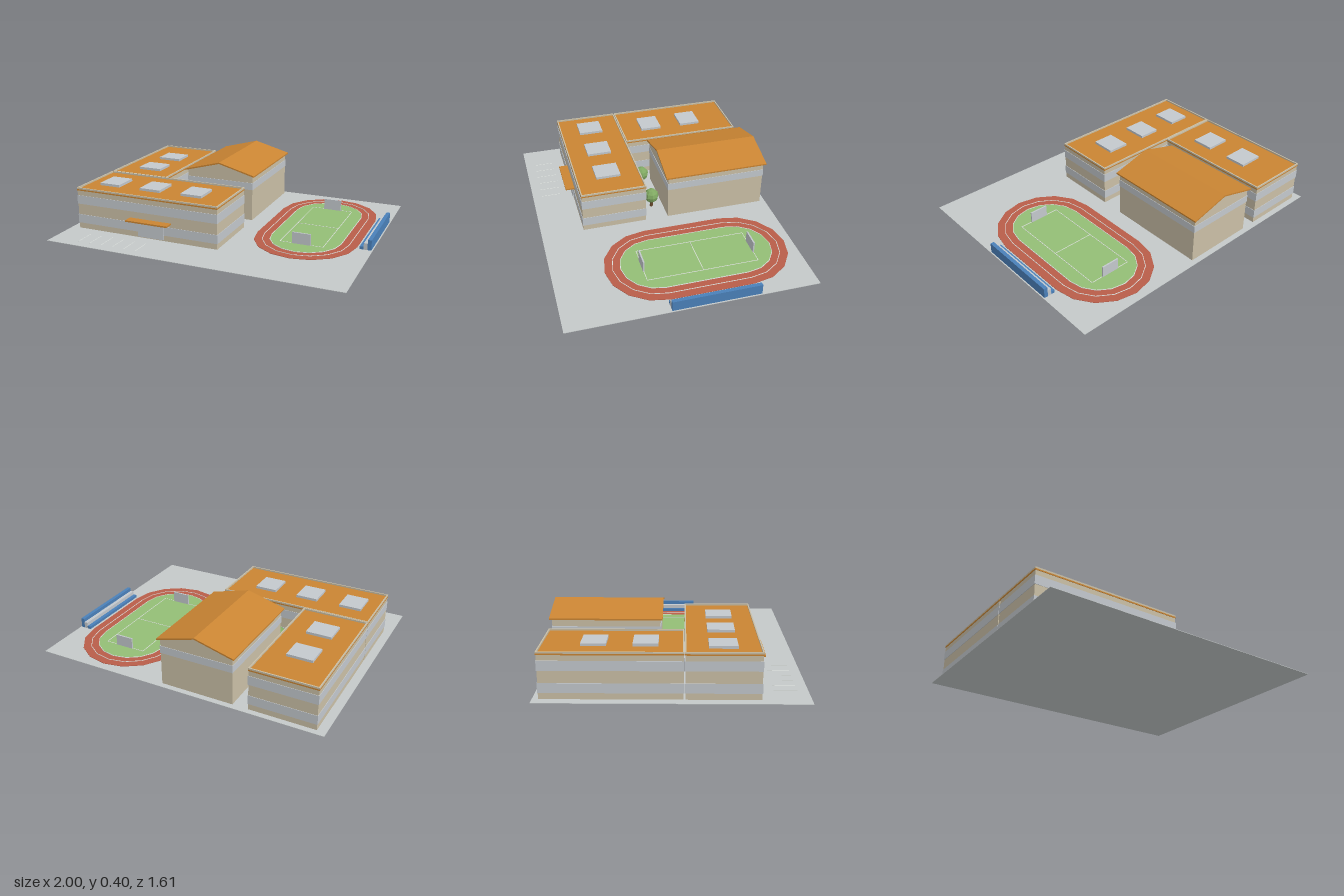
import * as THREE from 'three';

const mat = (name, color) => {
  const m = new THREE.MeshStandardMaterial({ color });
  m.name = name;
  return m;
};

export function createModel() {
  const model = new THREE.Group();
  model.name = 'schoolCampus';
  const paving = mat('paving grey', 0xc4c9c9);
  const wall = mat('wall beige', 0xcabfa6);
  const glass = mat('window grey', 0xc3c8cd);
  const roof = mat('roof orange', 0xca8533);
  const red = mat('track red', 0xb95d49);
  const grass = mat('grass green', 0x93be76);
  const white = mat('line white', 0xdcdfdc);
  const blue = mat('seat blue', 0x4a80b9);
  const leaf = mat('leaf green', 0x80a962);
  const bark = mat('bark brown', 0x6b4a2c);
  leaf.flatShading = true;

  const add = (parent, name, geometry, material) => {
    const mesh = new THREE.Mesh(geometry, material);
    mesh.name = name;
    parent.add(mesh);
    return mesh;
  };
  // Box given by its limits on each axis
  const box = (parent, name, material, x0, x1, y0, y1, z0, z1) => {
    const mesh = add(parent, name, new THREE.BoxGeometry(x1 - x0, y1 - y0, z1 - z0), material);
    mesh.position.set((x0 + x1) / 2, (y0 + y1) / 2, (z0 + z1) / 2);
    return mesh;
  };
  const group = (name) => {
    const g = new THREE.Group();
    g.name = name;
    model.add(g);
    return g;
  };

  box(model, 'ground', paving, -1, 1, 0, 0.003, -0.805, 0.805);

  // Two-storey wings: walls, window bands, flat roof, parapet, skylights
  const o = 0.003;
  const wing = (name, x0, x1, z0, z1, skylights, sw, sd) => {
    const g = group(name);
    box(g, 'walls', wall, x0, x1, 0.003, 0.271, z0, z1);
    for (const y of [0.042, 0.177]) {
      box(g, 'windowBand', glass, x0 - o, x1 + o, y, y + 0.06, z0 - o, z1 + o);
    }
    box(g, 'roofSlab', roof, x0 - o, x1 + o, 0.271, 0.28, z0 - o, z1 + o);
    const t = 0.008;
    for (const z of [z0 - o, z1 + o - t]) box(g, 'parapet', wall, x0 - o, x1 + o, 0.28, 0.291, z, z + t);
    for (const x of [x0 - o, x1 + o - t]) box(g, 'parapet', wall, x, x + t, 0.28, 0.291, z0 - o + t, z1 + o - t);
    for (const [x, z] of skylights) {
      box(g, 'skylight', glass, x - sw / 2, x + sw / 2, 0.28, 0.297, z - sd / 2, z + sd / 2);
    }
    return g;
  };
  const front = wing('frontWing', -0.942, 0.092, 0.078, 0.518,
    [[-0.773, 0.298], [-0.463, 0.298], [-0.157, 0.298]], 0.15, 0.17);
  wing('sideWing', -0.942, -0.508, -0.768, 0.068, [[-0.725, -0.46], [-0.725, -0.155]], 0.17, 0.15);

  // Entrance
  box(front, 'entranceDoor', glass, -0.48, -0.29, 0.01, 0.11, 0.518, 0.525);
  box(front, 'entranceCanopy', roof, -0.54, -0.235, 0.122, 0.132, 0.518, 0.58);

  // Gym hall with a gabled roof
  const gym = group('gymHall');
  const gx = -0.157;
  const prism = (name, material, points, z0, z1) => {
    const shape = new THREE.Shape(points.map(([x, y]) => new THREE.Vector2(x, y)));
    const mesh = add(gym, name, new THREE.ExtrudeGeometry(shape, { depth: z1 - z0, bevelEnabled: false }), material);
    mesh.position.set(gx, 0, z0);
  };
  prism('gymWalls', wall,
    [[-0.247, 0.003], [0.247, 0.003], [0.247, 0.324], [0, 0.391], [-0.247, 0.324]], -0.768, -0.08);
  prism('gymRoof', roof,
    [[-0.263, 0.32], [0, 0.391], [0.263, 0.32], [0.263, 0.33], [0, 0.401], [-0.263, 0.33]], -0.785, -0.065);
  box(gym, 'gymWindowBand', glass, gx - 0.25, gx + 0.25, 0.225, 0.275, -0.771, -0.077);

  // Sports ground: faceted ovals stacked as thin layers
  const field = group('sportsGround');
  const cx = 0.555, cz = -0.14, half = 0.27;
  const oval = (r) => {
    const points = [];
    for (const side of [1, -1]) {
      for (let i = 0; i <= 8; i++) {
        const a = (i / 8) * Math.PI;
        points.push(new THREE.Vector2(side * r * Math.cos(a), side * (half + r * Math.sin(a))));
      }
    }
    return points;
  };
  const layer = (name, material, r, y0, y1, inner) => {
    const shape = new THREE.Shape(oval(r));
    if (inner) shape.holes.push(new THREE.Path(oval(inner)));
    const mesh = add(field, name, new THREE.ExtrudeGeometry(shape, { depth: y1 - y0, bevelEnabled: false }), material);
    mesh.rotation.x = -Math.PI / 2;
    mesh.position.set(cx, y0, cz);
  };
  layer('runningTrack', red, 0.342, 0.003, 0.006);
  layer('grassField', grass, 0.236, 0.006, 0.008);
  layer('laneLine', white, 0.29, 0.006, 0.0085, 0.286);
  layer('fieldEdgeLine', white, 0.239, 0.006, 0.0095, 0.235);

  // Pitch markings and goals
  const px = 0.145, pz = 0.37, w = 0.002;
  for (const z of [-pz, 0, pz]) {
    box(field, 'pitchLine', white, cx - px, cx + px, 0.008, 0.0095, cz + z - w, cz + z + w);
  }
  for (const x of [-px, px]) {
    box(field, 'pitchSideLine', white, cx + x - w, cx + x + w, 0.008, 0.0095, cz - pz, cz + pz);
  }
  for (const z of [-pz, pz]) {
    box(field, 'goal', glass, cx - 0.062, cx + 0.062, 0.008, 0.084, cz + z - 0.005, cz + z + 0.005);
  }

  // Stepped bleachers
  const bleachers = group('bleachers');
  [blue, glass, blue].forEach((m, i) => {
    const x = 0.917 + i * 0.025;
    box(bleachers, 'bleacherStep', m, x, x + 0.025, 0.003, 0.025 * (i + 1) - 0.003, -0.42, 0.152);
  });

  // Courtyard trees
  for (const x of [-0.35, -0.06]) {
    const tree = group('tree');
    tree.position.set(x, 0, 0);
    add(tree, 'trunk', new THREE.CylinderGeometry(0.01, 0.012, 0.06, 6), bark).position.y = 0.032;
    add(tree, 'crown', new THREE.SphereGeometry(0.052, 8, 6), leaf).position.y = 0.092;
  }

  // Parking bay lines
  for (let i = 0; i < 6; i++) {
    const x = -0.8 + i * 0.085;
    box(model, 'parkingLine', white, x - w, x + w, 0.003, 0.004, 0.6, 0.74);
  }
  return model;
}
